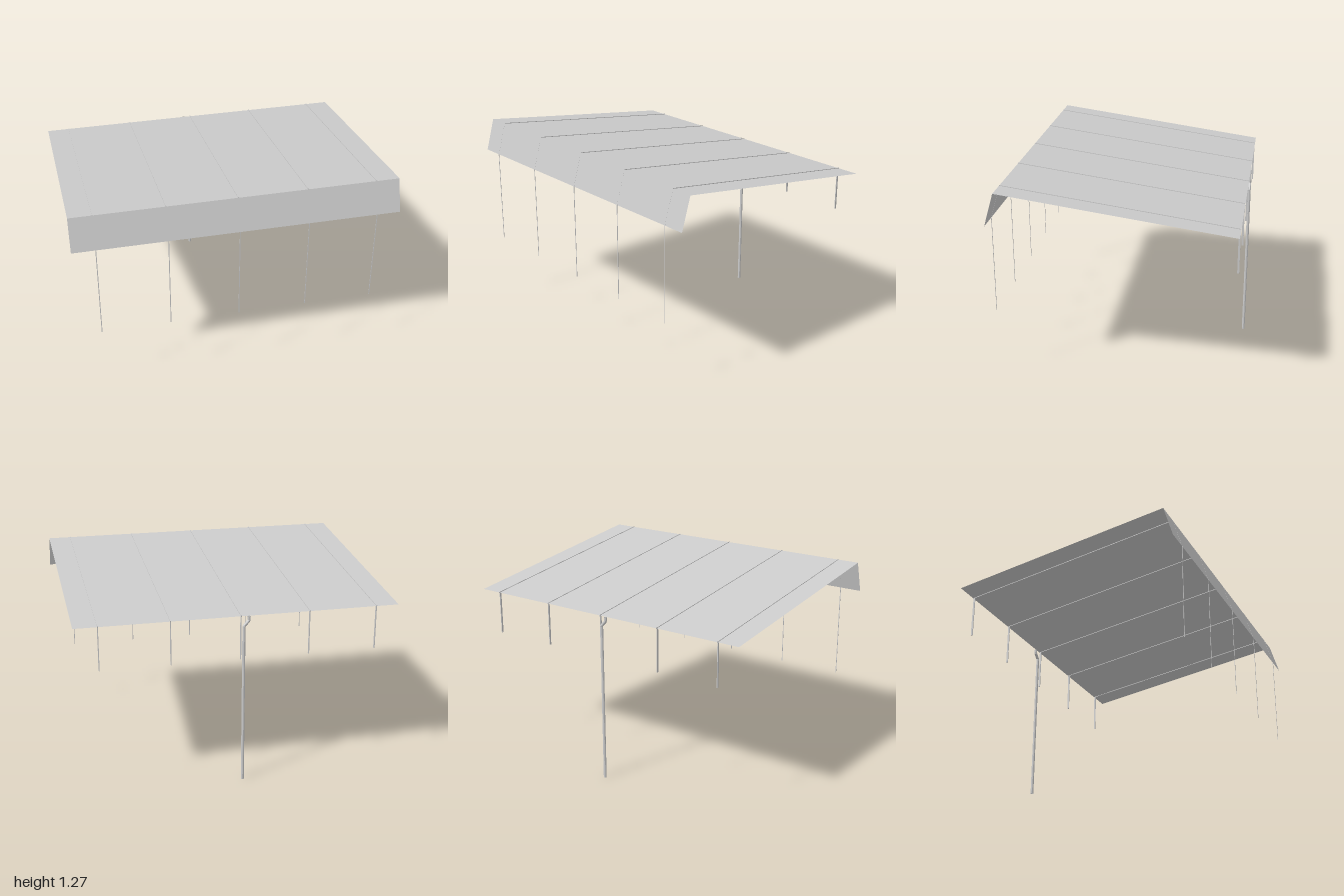
import * as THREE from 'three';

const grey = new THREE.MeshStandardMaterial({ color: 0xcccccc, side: THREE.DoubleSide, flatShading: true });

// roof line in the y-z plane: back edge, ridge, lower edge of the front skirt
const BACK = [1.074, -0.73], RIDGE = [1.264, 0.685], LIP = [1.061, 0.744];
const FRAMES = [-0.857, -0.43, 0, 0.427, 0.855];

function add(parent, name, geometry, x = 0, y = 0, z = 0) {
  const mesh = new THREE.Mesh(geometry, grey);
  mesh.name = name;
  mesh.position.set(x, y, z);
  parent.add(mesh);
  return mesh;
}

// box spanning the model's x width w, laid along the line from a to b
function slab(parent, name, a, b, w, thick, x = 0) {
  const dy = b[0] - a[0], dz = b[1] - a[1];
  const mesh = add(parent, name, new THREE.BoxGeometry(w, thick, Math.hypot(dy, dz)),
    x, (a[0] + b[0]) / 2, (a[1] + b[1]) / 2);
  mesh.rotation.x = -Math.atan2(dy, dz);
  return mesh;
}

// single sheet of width 2 between two points of the roof line
function sheet(parent, name, a, b) {
  const dy = b[0] - a[0], dz = b[1] - a[1];
  const geometry = new THREE.PlaneGeometry(2, Math.hypot(dy, dz)).rotateX(-Math.PI / 2);
  const mesh = add(parent, name, geometry, 0, (a[0] + b[0]) / 2, (a[1] + b[1]) / 2);
  mesh.rotation.x = -Math.atan2(dy, dz);
}

export function createModel() {
  const group = new THREE.Group();
  group.name = 'canopy';

  // sloping roof and front skirt
  sheet(group, 'roofSheet', BACK, RIDGE);
  sheet(group, 'frontSkirt', RIDGE, LIP);

  // one slim frame per bay: roof rib, skirt rib, long front post, short back post
  FRAMES.forEach((x) => {
    const frame = new THREE.Group();
    frame.name = 'frame';
    slab(frame, 'roofRib', BACK, RIDGE, 0.005, 0.008, x);
    slab(frame, 'skirtRib', RIDGE, LIP, 0.005, 0.001, x);
    add(frame, 'frontPost', new THREE.BoxGeometry(0.005, 0.607, 0.002), x, 0.7575, 0.743);
    add(frame, 'backPost', new THREE.BoxGeometry(0.005, 0.273, 0.012), x, 0.9365, -0.721);
    group.add(frame);
  });

  // drainpipe with an offset bend below the back edge
  const pipe = new THREE.CurvePath();
  const points = [[-0.016, 0], [-0.016, 1.012], [-0.047, 1.046], [-0.047, 1.072]]
    .map(([x, y]) => new THREE.Vector3(x, y, -0.733));
  for (let i = 0; i < points.length - 1; i++) {
    pipe.add(new THREE.LineCurve3(points[i], points[i + 1]));
  }
  add(group, 'drainpipe', new THREE.TubeGeometry(pipe, 120, 0.0095, 10, false));

  return group;
}
